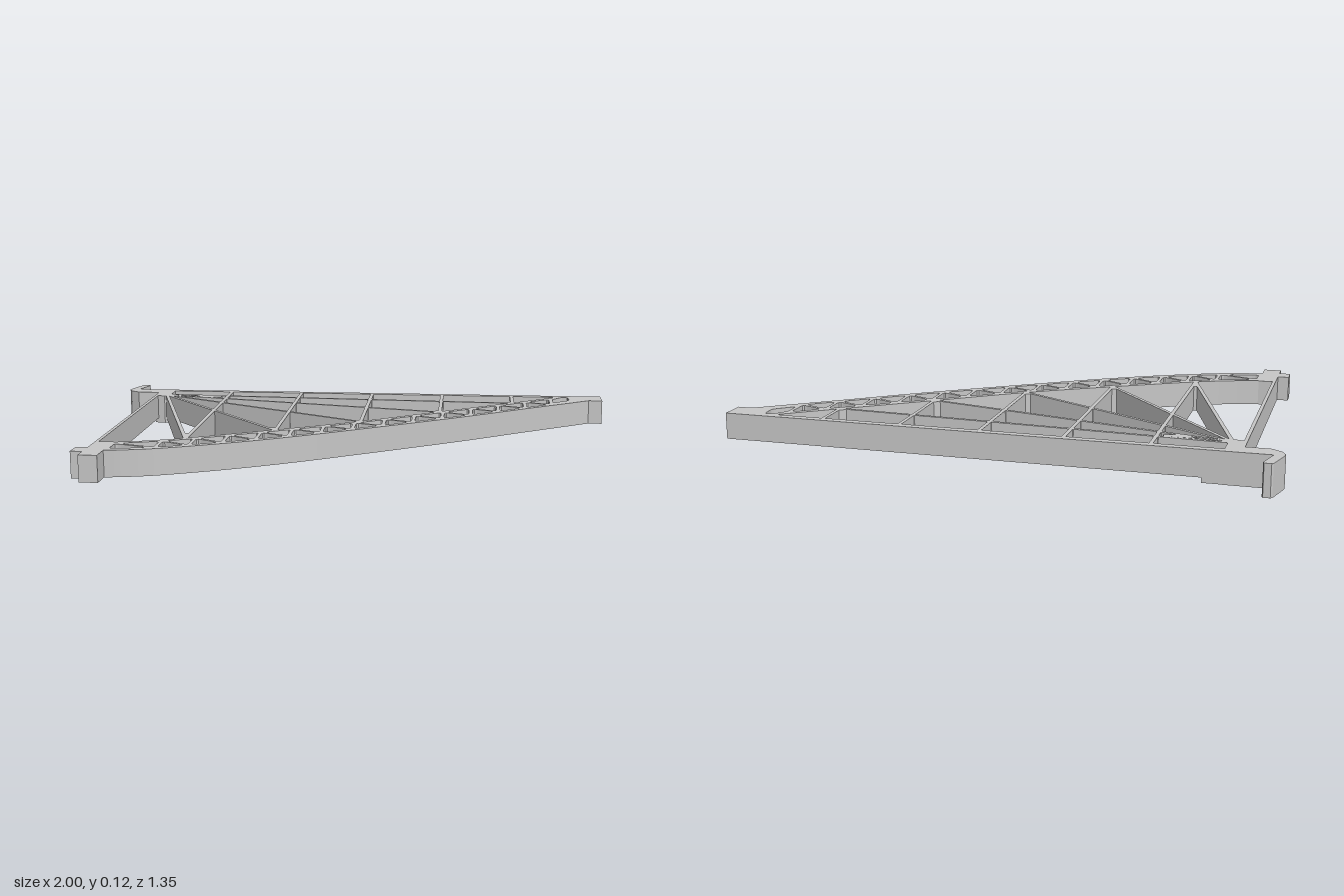
import * as THREE from 'three';

const BASE = 0.019, TOP = 0.115;

export function createModel() {
  const model = new THREE.Group();
  model.name = 'trussBracket';
  const grey = new THREE.MeshStandardMaterial({ color: 0xc6c6c6 });
  grey.name = 'plain grey';

  const add = (name, geometry) => {
    const mesh = new THREE.Mesh(geometry, grey);
    mesh.name = name;
    model.add(mesh);
  };

  // Plan outline in (x, z), raised from y0 to y1
  const prism = (name, pts, y0 = BASE, y1 = TOP, holes = []) => {
    const shape = new THREE.Shape(pts.map(([x, z]) => new THREE.Vector2(x, -z)));
    shape.holes = holes;
    const geo = new THREE.ExtrudeGeometry(shape, { depth: y1 - y0, bevelEnabled: false, curveSegments: 3 });
    geo.rotateX(-Math.PI / 2).translate(0, y0, 0);
    add(name, geo);
  };

  const block = (name, x0, x1, z0, z1, y0 = BASE, y1 = TOP) => {
    const geo = new THREE.BoxGeometry(x1 - x0, y1 - y0, z1 - z0);
    geo.translate((x0 + x1) / 2, (y0 + y1) / 2, (z0 + z1) / 2);
    add(name, geo);
  };

  // Straight rib between two plan points
  const rib = (name, x0, z0, x1, z1, y0 = BASE, y1 = TOP) => {
    const geo = new THREE.BoxGeometry(Math.hypot(x1 - x0, z1 - z0), y1 - y0, 0.014);
    geo.rotateY(-Math.atan2(z1 - z0, x1 - x0));
    geo.translate((x0 + x1) / 2, (y0 + y1) / 2, (z0 + z1) / 2);
    add(name, geo);
  };

  // Smooth edges of the curved truss
  const curve = (pts) => new THREE.SplineCurve(pts.map((p) => new THREE.Vector2(...p))).getPoints(40);
  const inner = curve([[-0.8, 0.465], [-0.67, 0.425], [-0.53, 0.36], [-0.235, 0.19], [0.04, 0.02],
    [0.37, -0.222], [0.62, -0.405], [0.815, -0.55]]);
  const outer = curve([[-0.8, 0.596], [-0.72, 0.583], [-0.6, 0.545], [-0.4, 0.45], [-0.2, 0.335], [0, 0.203],
    [0.4, -0.075], [0.67, -0.28], [0.945, -0.485]]);
  const zAt = (pts, x) => {
    let i = 1;
    while (i < pts.length - 1 && pts[i].x < x) i++;
    const a = pts[i - 1], b = pts[i];
    return a.y + (b.y - a.y) * (x - a.x) / (b.x - a.x);
  };

  // Hole with rounded corners
  const roundedHole = (pts, round = 0.2) => {
    const path = new THREE.Path();
    const v = pts.map(([x, z]) => new THREE.Vector2(x, -z));
    v.forEach((p, i) => {
      const before = p.clone().lerp(v[(i + v.length - 1) % v.length], round);
      const after = p.clone().lerp(v[(i + 1) % v.length], round);
      if (i) path.lineTo(before.x, before.y);
      else path.moveTo(before.x, before.y);
      path.quadraticCurveTo(p.x, p.y, after.x, after.y);
    });
    path.closePath();
    return path;
  };
  // Triangle shrunk evenly toward its incentre
  const triangleHole = (a, b, c, inset = 0.0065) => {
    const d = (p, q) => Math.hypot(p[0] - q[0], p[1] - q[1]);
    const la = d(b, c), lb = d(c, a), lc = d(a, b), sum = la + lb + lc;
    const centre = [0, 1].map((k) => (a[k] * la + b[k] * lb + c[k] * lc) / sum);
    const area = Math.abs((b[0] - a[0]) * (c[1] - a[1]) - (c[0] - a[0]) * (b[1] - a[1]));
    const s = 1 - inset * sum / area;
    return roundedHole([a, b, c].map((p) => p.map((n, k) => centre[k] + (n - centre[k]) * s)));
  };

  // Curved truss: two triangular holes per bay
  const edges = [-0.79];
  for (let k = -1; k <= 12; k++) edges.push(-0.52 + 0.109 * k);
  const holes = [];
  for (let i = 0; i < edges.length - 1; i++) {
    const [x0, x1] = [edges[i], edges[i + 1]];
    const top = (x) => [x, zAt(inner, x) + 0.02];
    const low = (x) => [x, zAt(outer, x) - 0.02];
    holes.push(triangleHole(top(x0), top(x1), low(x1)));
    holes.push(triangleHole(top(x0), low(x1), low(x0)));
  }
  holes.push(roundedHole([[0.796, -0.495], [0.835, -0.545], [0.862, -0.545], [0.866, -0.485], [0.796, -0.425]]));
  // The outline runs anticlockwise so that the hole walls face into the holes
  prism('curvedTruss', [
    ...outer.map((p) => [p.x, p.y]), [1, -0.485], [1, -0.55],
    ...inner.map((p) => [p.x, p.y]).reverse(),
  ], BASE, TOP, holes);

  // Straight frame members
  block('backBeam', -0.93, 1, -0.58, -0.55);
  block('sideBeam', -0.862, -0.849, -0.46, 0.47);
  block('footBlock', -0.862, -0.795, 0.46, 0.674);
  block('footTab', -0.905, -0.86, 0.555, 0.62);

  // Corner hook, reaching the ground
  prism('hook', [[-0.966, -0.68], [-0.942, -0.68], [-0.938, -0.67], [-0.962, -0.58], [-0.8, -0.58], [-0.8, -0.48],
    [-0.775, -0.468], [-0.785, -0.445], [-0.82, -0.43], [-0.862, -0.44], [-0.862, -0.51],
    [-0.95, -0.51], [-0.985, -0.535], [-1, -0.565], [-0.997, -0.585], [-0.972, -0.675]], 0, TOP);
  block('hookFootStrip', -0.81, -0.73, -0.578, -0.55, 0, BASE);

  // Cross ribs, ribs fanning out of the corner, and their gussets
  const ribs = [[-0.555, 0.09], [-0.255, 0.05], [0.045, 0.035], [0.34, 0.035], [0.63, 0.035]]
    .map(([x, d]) => ({ x, d, z: zAt(inner, x) + 0.008, hubX: -0.815, hubZ: x > 0.5 ? -0.472 : -0.46 }));
  ribs.forEach(({ x, d, z, hubX, hubZ }, i) => {
    rib('crossRib', x, -0.555, x, z);
    rib('fanRib', hubX, hubZ, x, z);
    const dx = x - hubX, dz = z - hubZ, len = Math.hypot(dx, dz);
    prism('ribGusset', [[x - dx * d / len, z - dz * d / len], [x, z - d], [x + 0.006, z], [x, z + 0.004]]);
    // Small fillets where the fan rib meets the cross ribs
    for (let j = 0; j < i; j++) {
      const cx = ribs[j].x, cz = hubZ + dz * (cx - hubX) / dx, r = 0.016;
      prism('ribNode', [[cx - r, cz - r * dz / dx], [cx, cz + r], [cx + r, cz + r * dz / dx], [cx, cz - r]]);
    }
    // Short feet below the shallow ribs
    if (i > 2) rib('fanRibFoot', hubX, hubZ, -0.73, hubZ + dz * (-0.73 - hubX) / dx, 0, BASE);
  });

  // Small web between the two shallowest fan ribs
  prism('fanWeb', [[-0.7, -0.455], [-0.58, -0.455], [-0.575, -0.436], [-0.6, -0.425], [-0.625, -0.418], [-0.66, -0.43]]);

  return model;
}
